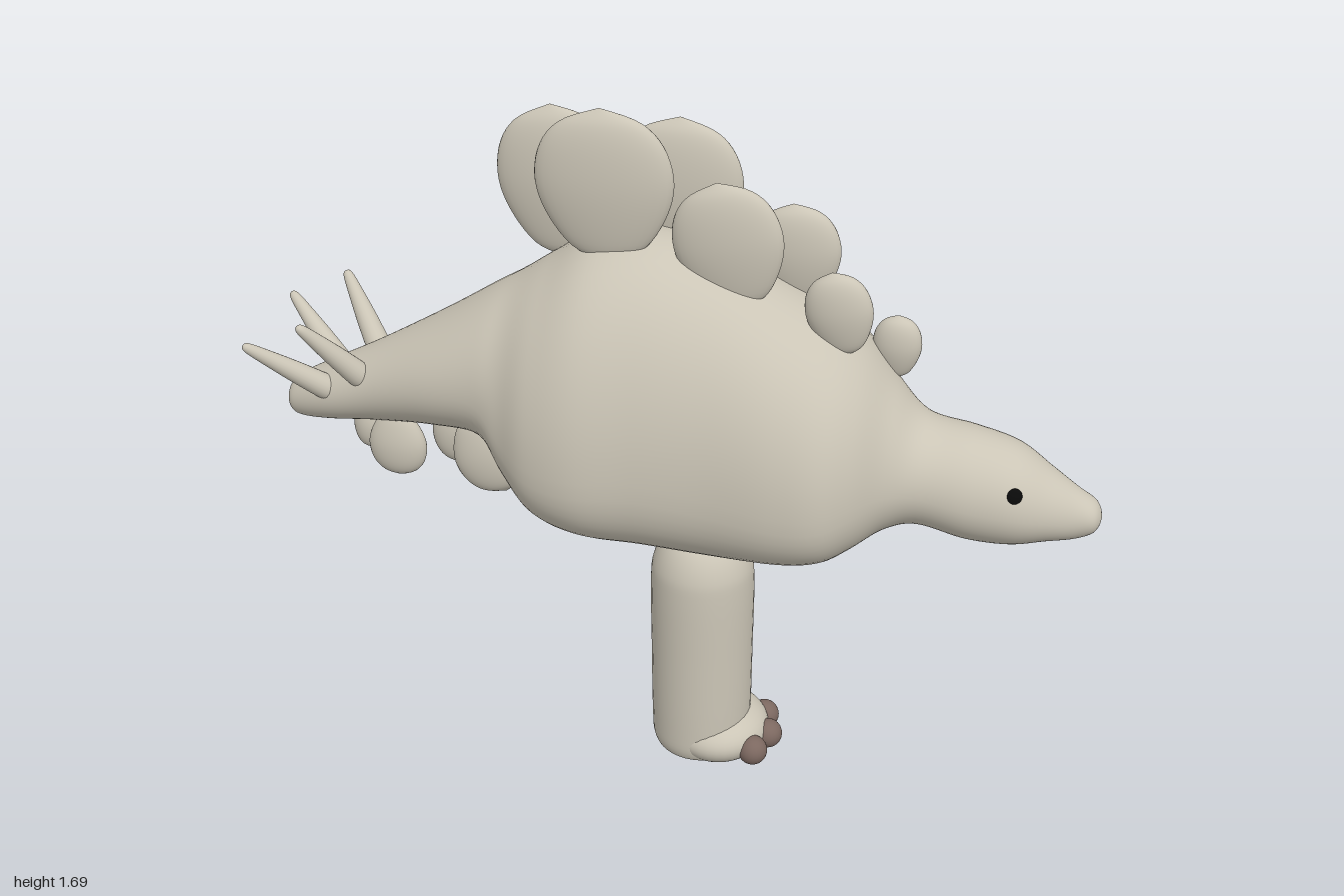
import * as THREE from 'three';

const skin = new THREE.MeshStandardMaterial({ color: 0xcbc5b6 });
skin.name = 'skin';
const claw = new THREE.MeshStandardMaterial({ color: 0x7c6860 });
claw.name = 'claw';
const eyeBlack = new THREE.MeshStandardMaterial({ color: 0x0a0a0a });
eyeBlack.name = 'eyeBlack';

function add(parent, name, geometry, material) {
  const mesh = new THREE.Mesh(geometry, material);
  mesh.name = name;
  parent.add(mesh);
  return mesh;
}

// Smooth turned shape from a few [radius, height] points
function turned(points, steps = 28, sides = 32) {
  const curve = new THREE.SplineCurve(points.map(([r, y]) => new THREE.Vector2(r, y)));
  const profile = curve.getPoints(steps);
  profile.forEach((p) => { p.x = Math.max(p.x, 0); });
  return new THREE.LatheGeometry(profile, sides);
}

// Body cross-sections along x: [x, top, bottom, half width, height share of the widest line]
const sections = [
  [-0.96, 0.868, 0.862, 0.003, 0.5],
  [-0.95, 0.9, 0.83, 0.034, 0.5],
  [-0.92, 0.928, 0.817, 0.053, 0.5],
  [-0.84, 0.972, 0.822, 0.08, 0.5],
  [-0.72, 1.035, 0.838, 0.108, 0.5],
  [-0.56, 1.128, 0.855, 0.16, 0.48],
  [-0.43, 1.212, 0.852, 0.197, 0.42],
  [-0.36, 1.255, 0.765, 0.235, 0.36],
  [-0.28, 1.31, 0.695, 0.288, 0.34],
  [-0.17, 1.378, 0.66, 0.312, 0.33],
  [-0.03, 1.392, 0.645, 0.293, 0.34],
  [0.12, 1.345, 0.636, 0.283, 0.34],
  [0.28, 1.268, 0.643, 0.293, 0.34],
  [0.38, 1.215, 0.66, 0.284, 0.35],
  [0.45, 1.158, 0.69, 0.24, 0.38],
  [0.52, 1.07, 0.723, 0.168, 0.42],
  [0.59, 1.0, 0.738, 0.135, 0.46],
  [0.7, 0.978, 0.713, 0.13, 0.46],
  [0.8, 0.95, 0.71, 0.118, 0.46],
  [0.88, 0.897, 0.724, 0.086, 0.46],
  [0.94, 0.857, 0.733, 0.058, 0.48],
  [0.98, 0.832, 0.75, 0.043, 0.5],
  [0.995, 0.812, 0.768, 0.024, 0.5],
  [1.0, 0.793, 0.787, 0.003, 0.5],
];

function bodyGeometry() {
  const spline = (f) => new THREE.CatmullRomCurve3(
    sections.map((s) => new THREE.Vector3(...f(s))), false, 'catmullrom', 0.5);
  const heights = spline(([x, top, bottom]) => [x, top, bottom]);
  const widths = spline(([x, , , w, k]) => [x, w, k]);
  const rings = 138, sides = 56;
  const pos = [], index = [];
  for (let i = 0; i <= rings; i++) {
    const a = heights.getPoint(i / rings), b = widths.getPoint(i / rings);
    const mid = a.z + (a.y - a.z) * b.z;
    const torso = THREE.MathUtils.smoothstep(b.y, 0.15, 0.28);
    for (let j = 0; j < sides; j++) {
      const t = (j / sides) * Math.PI * 2, c = Math.cos(t), s = Math.sin(t);
      // squarer belly on the torso, rounder back
      const e = s < 0 ? 1 - 0.2 * torso : 1;
      const z = b.y * Math.sign(c) * Math.abs(c) ** e;
      const h = Math.sign(s) * Math.abs(s) ** e;
      pos.push(a.x, mid + h * (s > 0 ? a.y - mid : mid - a.z), z);
    }
  }
  const at = (i, j) => i * sides + (j % sides);
  for (let i = 0; i < rings; i++) {
    for (let j = 0; j < sides; j++) {
      index.push(at(i, j), at(i + 1, j), at(i, j + 1));
      index.push(at(i + 1, j), at(i + 1, j + 1), at(i, j + 1));
    }
  }
  const end = pos.length / 3;
  pos.push(-0.961, 0.865, 0, 1.0, 0.79, 0);
  for (let j = 0; j < sides; j++) {
    index.push(end, at(0, j), at(0, j + 1));
    index.push(end + 1, at(rings, j + 1), at(rings, j));
  }
  const g = new THREE.BufferGeometry();
  g.setAttribute('position', new THREE.Float32BufferAttribute(pos, 3));
  g.setIndex(index);
  g.computeVertexNormals();
  return g;
}

// Leaf-shaped plate, one unit half height
const plateShape = turned([[0, -1], [0.5, -0.82], [0.85, -0.4], [1, 0.05], [0.9, 0.5], [0.58, 0.82], [0, 1]]);

function plate(parent, name, [x, y, z, halfWidth, halfHeight, tilt], thickness) {
  const m = add(parent, name, plateShape, skin);
  m.position.set(x, y, z);
  m.scale.set(halfWidth, halfHeight, thickness);
  m.rotation.z = tilt;
}

export function createModel() {
  const model = new THREE.Group();
  model.name = 'platedDinosaur';
  add(model, 'body', bodyGeometry(), skin);

  // Two staggered rows of back plates: x, y, z, half width, half height, tilt
  const backPlates = [
    [-0.14, 1.515, 0.065, 0.158, 0.18, 0.05],
    [0.14, 1.4, 0.065, 0.125, 0.15, 0.2],
    [0.39, 1.265, 0.065, 0.076, 0.1, 0.2],
    [-0.28, 1.46, -0.065, 0.145, 0.185, 0.1],
    [0.0, 1.47, -0.065, 0.145, 0.17, 0],
    [0.27, 1.34, -0.065, 0.1, 0.12, 0.1],
    [0.505, 1.135, -0.065, 0.056, 0.078, 0],
  ];
  for (const p of backPlates) plate(model, 'backPlate', p, 0.028 + p[3] * 0.08);

  // Plates hanging under the tail
  const tailPlates = [
    [-0.775, 0.79, -0.045, 0.042, 0.075, Math.PI],
    [-0.67, 0.795, 0.05, 0.072, 0.09, Math.PI],
    [-0.55, 0.79, -0.055, 0.068, 0.095, Math.PI],
    [-0.44, 0.795, 0.055, 0.09, 0.105, Math.PI + 0.4],
  ];
  for (const p of tailPlates) plate(model, 'tailPlate', p, 0.034);

  // Mirrored pairs of tail spikes
  const spikes = [
    [[-0.82, 0.91, 0.045], [-1.0, 1.065, 0.15]],
    [[-0.735, 0.96, 0.06], [-0.855, 1.135, 0.158]],
  ];
  for (const side of [1, -1]) {
    for (const [from, to] of spikes) {
      const a = new THREE.Vector3(...from), b = new THREE.Vector3(...to);
      a.z *= side;
      b.z *= side;
      const dir = b.clone().sub(a), len = dir.length();
      const m = add(model, 'tailSpike', turned([[0, 0], [0.028, 0.01], [0.027, len * 0.35],
        [0.018, len * 0.75], [0.011, len * 0.96], [0, len]], 24, 20), skin);
      m.position.copy(a);
      m.quaternion.setFromUnitVectors(new THREE.Vector3(0, 1, 0), dir.normalize());
    }
    // Eyes
    const eye = add(model, 'eye', new THREE.SphereGeometry(0.018, 20, 14), eyeBlack);
    eye.position.set(0.805, 0.878, side * 0.102);
    eye.scale.z = 0.4;
    eye.rotation.set(side * -0.45, side * 0.25, 0);
  }

  // Single central leg with a forward foot
  const leg = new THREE.Group();
  leg.name = 'leg';
  leg.position.x = 0.073;
  model.add(leg);
  add(leg, 'shin', turned([[0, 0.004], [0.09, 0.005], [0.117, 0.025], [0.123, 0.1], [0.125, 0.3],
    [0.126, 0.48], [0.119, 0.55], [0.092, 0.605], [0.05, 0.632], [0, 0.64]], 48, 40), skin);
  const footShape = new THREE.SphereGeometry(1, 36, 24);
  footShape.scale(0.125, 0.075, 0.132);
  footShape.translate(0.045, 0.055, 0);
  const p = footShape.attributes.position;
  for (let i = 0; i < p.count; i++) p.setY(i, Math.max(p.getY(i), 0.002));
  footShape.computeVertexNormals();
  add(leg, 'foot', footShape, skin);
  for (const z of [-0.076, 0, 0.076]) {
    const toe = add(leg, 'toe', new THREE.SphereGeometry(0.037, 24, 16), claw);
    toe.position.set(z ? 0.147 : 0.17, 0.044, z);
  }
  return model;
}
